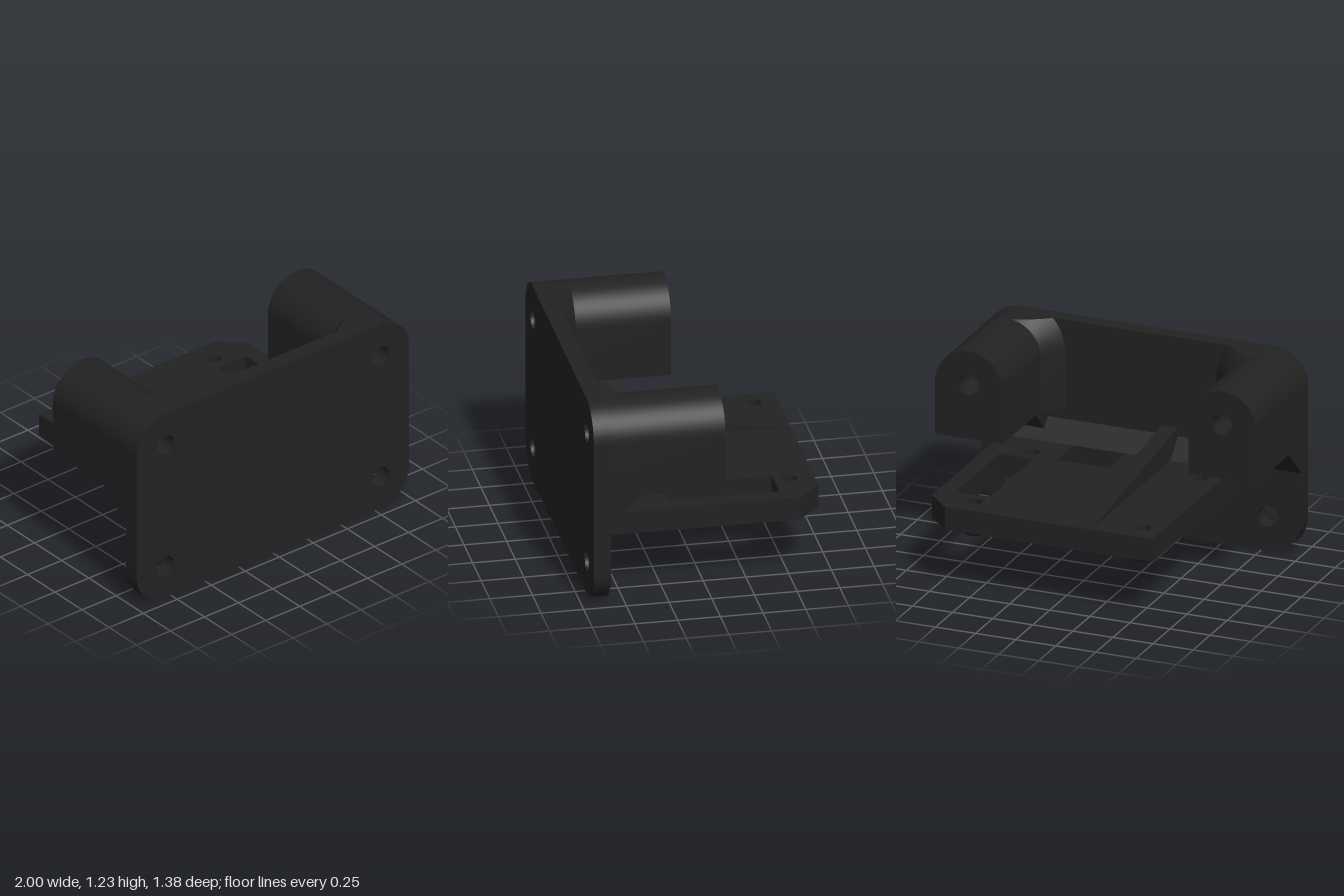
import * as THREE from 'three';
import { toCreasedNormals } from 'three/addons/utils/BufferGeometryUtils.js';

const material = new THREE.MeshStandardMaterial({ color: 0x222222 });

const BACK = 0.59;      // rear face of the front plate
const ARM_X = 0.79, ARM_Y = 1.02, ARM_R = 0.21, ARM_BOTTOM = 0.69, TOP = 1.23;
const TRAY_TOP = 0.51, TRAY_BOTTOM = 0.37;
const FILLET = 0.11, SCREW_R = 0.062;

function addMesh(group, name, geometry) {
  const mesh = new THREE.Mesh(toCreasedNormals(geometry, 0.6), material);
  mesh.name = name;
  group.add(mesh);
  return mesh;
}

function extrude(shape, depth) {
  return new THREE.ExtrudeGeometry(shape, { depth, bevelEnabled: false, curveSegments: 20 });
}

function polygon(points) {
  return new THREE.Shape(points.map(([x, y]) => new THREE.Vector2(x, y)));
}

function circleHole(shape, x, y, r) {
  shape.holes.push(new THREE.Path().absarc(x, y, r, 0, Math.PI * 2, true));
}

function rectHole(shape, x0, y0, x1, y1) {
  shape.holes.push(new THREE.Path([[x0, y0], [x0, y1], [x1, y1], [x1, y0]]
    .map(([x, y]) => new THREE.Vector2(x, y))));
}

// Prism running along x, with its profile given as [z, y] points
function sidePrism(points, x0, x1) {
  return extrude(polygon(points), x1 - x0).rotateY(-Math.PI / 2).translate(x1, 0, 0);
}

// Flared transition from the inner side of an arm to the plate, cut flat at the plate top
function armFlare(s) {
  const rows = 8, arcSteps = 16, pos = [], index = [];
  for (let i = 0; i <= rows; i++) {
    const d = FILLET * i / rows, r = ARM_R + d;
    const row = [[0, TOP]];
    const start = Math.asin(Math.min(1, (TOP - ARM_Y) / r));
    for (let k = 0; k <= arcSteps; k++) {
      const a = start * (1 - k / arcSteps);
      row.push([r * Math.cos(a), ARM_Y + r * Math.sin(a)]);
    }
    row.push([r, ARM_BOTTOM], [ARM_R, ARM_BOTTOM]);
    for (const [dx, y] of row) pos.push(s * (ARM_X - dx), y, BACK - FILLET + d);
  }
  const n = arcSteps + 4;
  for (let i = 0; i < rows; i++) {
    for (let j = 0; j < n - 1; j++) {
      const a = i * n + j, b = a + 1, c = a + n, e = c + 1;
      if (s > 0) index.push(a, b, c, b, e, c);
      else index.push(a, c, b, b, c, e);
    }
  }
  const geometry = new THREE.BufferGeometry();
  geometry.setAttribute('position', new THREE.Float32BufferAttribute(pos, 3));
  geometry.setIndex(index);
  return geometry;
}

export function createModel() {
  const model = new THREE.Group();
  model.name = 'mountingBracket';

  // Upright plate with rounded corners and four screw holes
  const plate = new THREE.Shape();
  plate.absarc(ARM_X, ARM_Y, ARM_R, 0, Math.PI / 2);
  plate.absarc(-ARM_X, ARM_Y, ARM_R, Math.PI / 2, Math.PI);
  plate.absarc(-ARM_X, ARM_R, ARM_R, Math.PI, Math.PI * 1.5);
  plate.absarc(ARM_X, ARM_R, ARM_R, Math.PI * 1.5, Math.PI * 2);
  plate.closePath();
  for (const x of [-ARM_X, ARM_X]) {
    for (const y of [ARM_R, ARM_Y]) circleHole(plate, x, y, SCREW_R);
  }
  addMesh(model, 'frontPlate', extrude(plate, 0.1).translate(0, 0, BACK));

  // Round-topped arms with flares and sloped supports underneath
  for (const s of [1, -1]) {
    const arm = new THREE.Group();
    arm.name = s > 0 ? 'leftArm' : 'rightArm';
    const shape = new THREE.Shape();
    shape.moveTo(-ARM_R, ARM_BOTTOM);
    shape.lineTo(ARM_R, ARM_BOTTOM);
    shape.absarc(0, ARM_Y, ARM_R, 0, Math.PI);
    shape.closePath();
    circleHole(shape, 0, ARM_Y, SCREW_R);
    addMesh(arm, 'armBody', extrude(shape, BACK + 0.08).translate(s * ARM_X, 0, -0.08));
    addMesh(arm, 'armFlare', armFlare(s));
    const x = s * ARM_X;
    addMesh(arm, 'armSupport', sidePrism(
      [[BACK, 0.51], [BACK, ARM_BOTTOM], [0.41, ARM_BOTTOM]], x - ARM_R, x + ARM_R));
    model.add(arm);
  }

  // Tray with a clipped corner, two windows and four screw holes
  const screws = [[-0.495, -0.545], [0.555, -0.545], [-0.495, 0.295], [0.555, 0.295]];
  const tray = polygon([[-0.615, -0.69], [0.68, -0.69], [0.82, -0.55], [0.82, BACK], [-0.615, BACK]]);
  rectHole(tray, 0.505, -0.45, 0.715, 0.2);
  rectHole(tray, 0.05, 0.235, 0.37, 0.48);
  for (const [x, z] of screws) circleHole(tray, x, z, 0.043);
  addMesh(model, 'tray', extrude(tray, TRAY_TOP - TRAY_BOTTOM)
    .rotateX(Math.PI / 2).translate(0, TRAY_TOP, 0));

  // Sloped joint between tray and plate, and the tapering rib
  addMesh(model, 'trayJoint', sidePrism(
    [[BACK, TRAY_TOP], [BACK, TRAY_TOP + FILLET], [BACK - FILLET, TRAY_TOP]], -0.615, 0.82));
  addMesh(model, 'trayRib', sidePrism(
    [[BACK, TRAY_TOP], [BACK, 0.673], [-0.68, TRAY_TOP]], -0.23, -0.13));

  // Hollow conical bosses below the tray
  const bossProfile = [[0.043, 0.37], [0.043, 0.32], [0.06, 0.32], [0.11, 0.37]]
    .map(([r, y]) => new THREE.Vector2(r, y));
  for (const [x, z] of screws) {
    addMesh(model, 'screwBoss', new THREE.LatheGeometry(bossProfile, 32)).position.set(x, 0, z);
  }
  return model;
}
